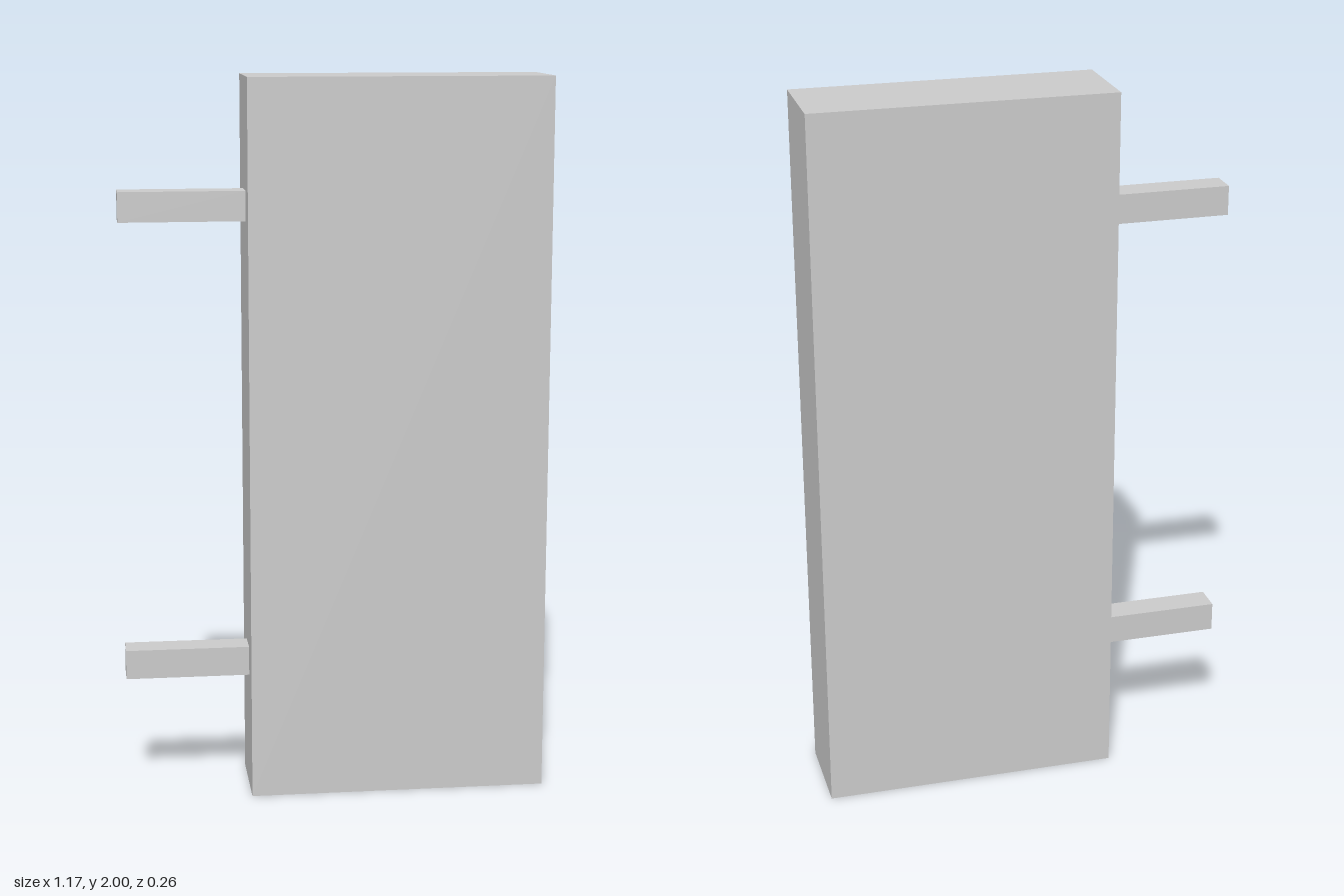
import * as THREE from 'three';

export function createModel() {
  const group = new THREE.Group();
  const material = new THREE.MeshStandardMaterial({ color: 0xcccccc, flatShading: true });

  // Box given by its minimum and maximum corners
  const addBox = (name, [x0, y0, z0], [x1, y1, z1]) => {
    const mesh = new THREE.Mesh(new THREE.BoxGeometry(x1 - x0, y1 - y0, z1 - z0), material);
    mesh.position.set((x0 + x1) / 2, (y0 + y1) / 2, (z0 + z1) / 2);
    mesh.name = name;
    group.add(mesh);
  };

  // Upright slab
  addBox('panel', [-0.242, 0, -0.129], [0.587, 2, 0.129]);

  // Two square arms projecting from the panel's side
  for (const [name, y] of [['lowerArm', 0.332], ['upperArm', 1.612]]) {
    addBox(name, [-0.587, y, -0.032], [-0.242, y + 0.082, 0.05]);
  }

  return group;
}
